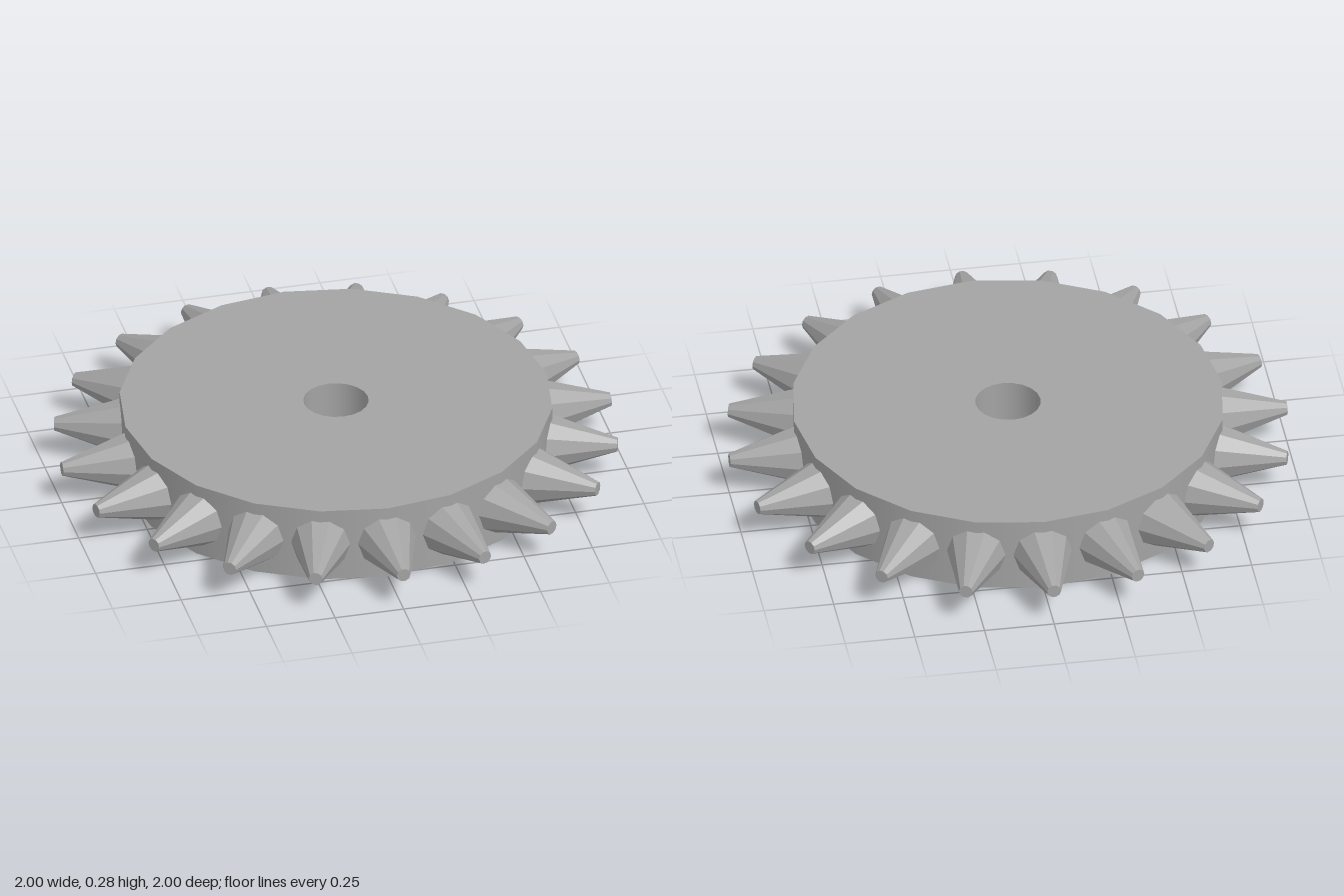
import * as THREE from 'three';

const SIDES = 20, HEIGHT = 0.28, RIM = 0.768, BORE = 0.116;
const TIP = 1, ROOT = 0.72;

export function createModel() {
  const model = new THREE.Group();
  model.name = 'spikedWheel';
  const steel = new THREE.MeshStandardMaterial({ color: 0xa3a3a3 });
  steel.name = 'grey steel';

  // Disc: each wall is a separate ring so the rims stay sharp
  const disc = new THREE.Group();
  disc.name = 'disc';
  const corners = [[RIM, 0], [RIM, HEIGHT], [BORE, HEIGHT], [BORE, 0]];
  ['outerWall', 'topFace', 'boreWall', 'bottomFace'].forEach((name, i) => {
    const ends = [corners[i], corners[(i + 1) % 4]].map(([r, y]) => new THREE.Vector2(r, y));
    const ring = new THREE.Mesh(new THREE.LatheGeometry(ends, SIDES), steel);
    ring.name = name;
    disc.add(ring);
  });
  model.add(disc);

  // Ten-sided faceted spike pointing along +z, rooted inside the disc
  let spikeShape = new THREE.CylinderGeometry(0.025, 0.115, TIP - ROOT, 10);
  spikeShape.rotateY(Math.PI / 2);
  spikeShape.rotateX(Math.PI / 2);
  spikeShape.translate(0, HEIGHT / 2, (TIP + ROOT) / 2);
  spikeShape = spikeShape.toNonIndexed();
  spikeShape.computeVertexNormals();

  // Ring of spikes, one on each corner of the disc
  for (let i = 0; i < SIDES; i++) {
    const spike = new THREE.Mesh(spikeShape, steel);
    spike.name = 'spike' + (i + 1);
    spike.rotation.y = (i / SIDES) * Math.PI * 2;
    model.add(spike);
  }
  return model;
}
